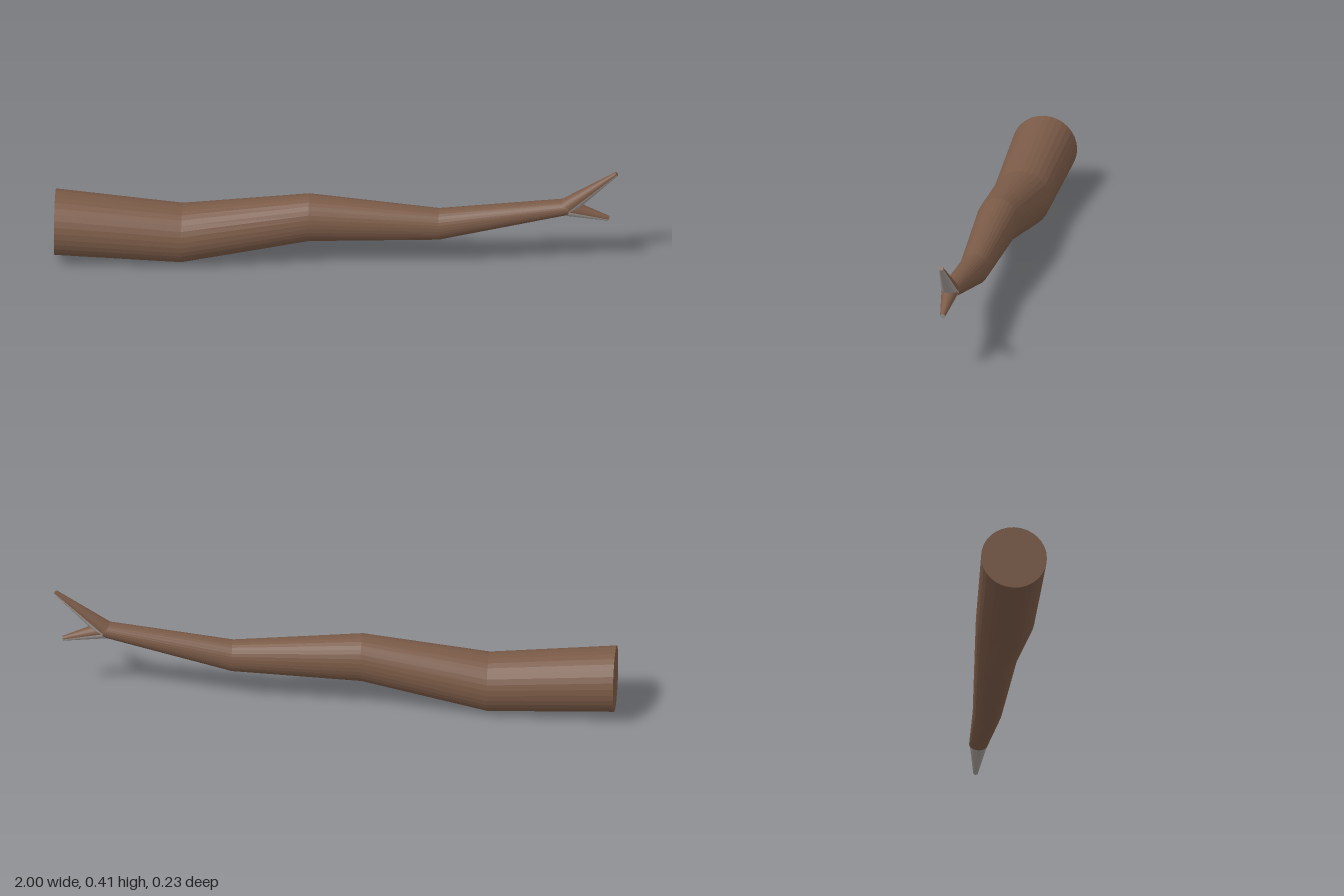
import * as THREE from 'three';

const bark = new THREE.MeshStandardMaterial({ color: 0x7a5a47 });
bark.name = 'brown bark';
const pale = new THREE.MeshStandardMaterial({ color: 0xa59d99 });
pale.name = 'pale grey underside';

// Trunk stations along x: [x, centre y, half height, half depth]
const stations = [
  [-1, 0.147, 0.118, 0.117],
  [-0.55, 0.114, 0.106, 0.104],
  [-0.1, 0.192, 0.088, 0.077],
  [0.36, 0.177, 0.058, 0.052],
  [0.82, 0.264, 0.028, 0.033],
];

function faceted(geometry) {
  const flat = geometry.toNonIndexed();
  flat.computeVertexNormals();
  return flat;
}

// Crooked trunk: a closed cylinder whose rings are moved onto the stations
function makeTrunk() {
  const spans = stations.length - 1;
  const geometry = new THREE.CylinderGeometry(1, 1, spans, 32, spans);
  const p = geometry.attributes.position;
  for (let i = 0; i < p.count; i++) {
    const [x, y, h, d] = stations[Math.round(p.getY(i) + spans / 2)];
    p.setXYZ(i, x, y - h * p.getX(i), d * p.getZ(i));
  }
  const mesh = new THREE.Mesh(faceted(geometry), bark);
  mesh.name = 'trunk';
  return mesh;
}

// Tapered twig in the xy plane; faces that look down are pale
function makeTwig(name, from, to, r0, r1) {
  const a = new THREE.Vector3(...from, 0);
  const b = new THREE.Vector3(...to, 0);
  const axis = b.clone().sub(a);
  const source = new THREE.CylinderGeometry(r1, r0, axis.length(), 32);
  source.applyQuaternion(new THREE.Quaternion().setFromUnitVectors(
    new THREE.Vector3(0, 1, 0), axis.normalize()));
  source.translate(...a.add(b).multiplyScalar(0.5).toArray());
  const geometry = faceted(source);
  geometry.clearGroups();
  const n = geometry.attributes.normal;
  for (let i = 0; i < n.count; i += 3) {
    geometry.addGroup(i, 3, n.getY(i) < -0.04 ? 1 : 0);
  }
  const mesh = new THREE.Mesh(geometry, [bark, pale]);
  mesh.name = name;
  return mesh;
}

export function createModel() {
  const group = new THREE.Group();
  group.name = 'forkedBranch';
  group.add(
    makeTrunk(),
    makeTwig('upperTwig', [0.815, 0.265], [0.99, 0.408], 0.032, 0.008),
    makeTwig('lowerTwig', [0.81, 0.262], [0.962, 0.218], 0.032, 0.009),
  );
  return group;
}
